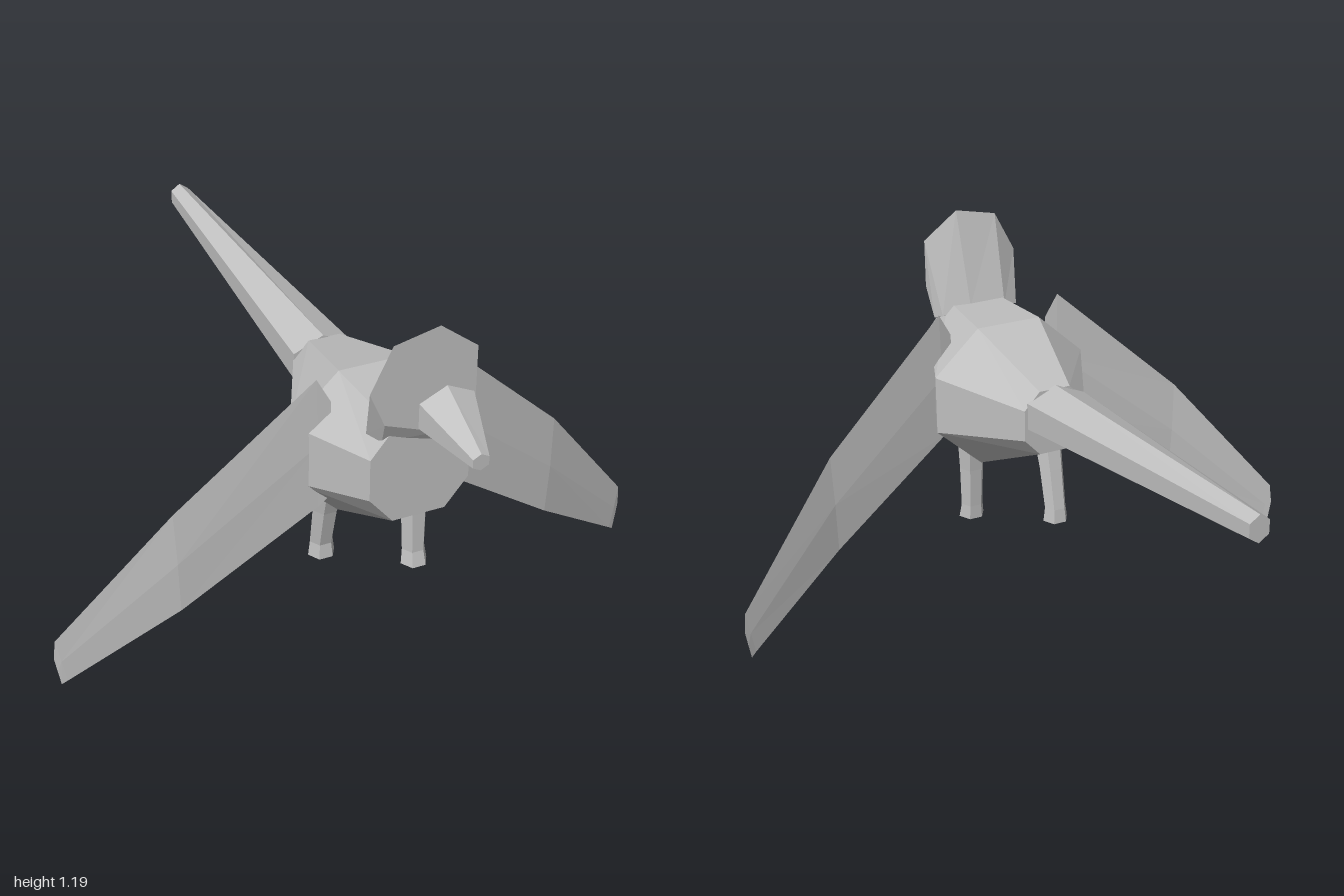
import * as THREE from 'three';

const grey = new THREE.MeshStandardMaterial({ color: 0xc0c0c0, flatShading: true });
grey.name = 'plain grey';

// Closed, flat-faced skin through rings of [x, y, z] points, capped at both ends
function loft(name, rings) {
  const tris = [];
  const n = rings[0].length;
  for (let r = 0; r < rings.length - 1; r++) {
    for (let i = 0; i < n; i++) {
      const j = (i + 1) % n;
      const [a, b, c, d] = [rings[r][i], rings[r][j], rings[r + 1][j], rings[r + 1][i]];
      tris.push([a, b, c], [a, c, d]);
    }
  }
  const last = rings[rings.length - 1];
  for (let i = 1; i < n - 1; i++) {
    tris.push([rings[0][0], rings[0][i + 1], rings[0][i]]);
    tris.push([last[0], last[i], last[i + 1]]);
  }
  // Turn all faces outward by the sign of the enclosed volume
  let volume = 0;
  for (const [a, b, c] of tris) {
    const [u, v, w] = [a, b, c].map((p) => new THREE.Vector3(...p));
    volume += u.dot(v.cross(w));
  }
  if (volume < 0) tris.forEach((t) => t.reverse());
  const geometry = new THREE.BufferGeometry();
  geometry.setAttribute('position', new THREE.Float32BufferAttribute(tris.flat(2), 3));
  geometry.computeVertexNormals();
  const mesh = new THREE.Mesh(geometry, grey);
  mesh.name = name;
  return mesh;
}

// Upright octagon: half width w, half height h, corner offsets cx and cy
const octagon = (y, z, w, h, cx, cy) =>
  [[cx, h], [w, cy], [w, -cy], [cx, -h], [-cx, -h], [-w, -cy], [-w, cy], [-cx, h]]
    .map(([px, py]) => [px, y + py, z]);

// Upright hexagon with a corner at the top
const hexagon = (x, y, z, w, h) =>
  [[0, 1], [1, 0.5], [1, -0.5], [0, -1], [-1, -0.5], [-1, 0.5]]
    .map(([px, py]) => [x + px * w, y + py * h, z]);

// Level hexagon for the legs
const legRing = (x, y, z, r) =>
  Array.from({ length: 6 }, (_, i) => {
    const a = (i * Math.PI) / 3;
    return [x + r * Math.cos(a), y, z + r * Math.sin(a)];
  });

// Thin lens section of a wing: top edge, front, bottom edge, back
const wingRing = (side, top, bottom, t) => {
  const mid = top.map((v, i) => (v + bottom[i]) / 2);
  return [top, [mid[0], mid[1], mid[2] + t], bottom, [mid[0], mid[1], mid[2] - t]]
    .map(([x, y, z]) => [side * x, y, z]);
};

export function createModel() {
  const model = new THREE.Group();
  model.name = 'bird';

  model.add(loft('body', [
    octagon(0.75, 0.67, 0.15, 0.15, 0.08, 0.065),
    octagon(0.685, 0.37, 0.253, 0.235, 0.105, 0.095),
    octagon(0.725, 0.04, 0.1, 0.105, 0.05, 0.05),
  ]));

  // Neck flares from the shoulders up to a flat upright face
  model.add(loft('neck', [
    [[-0.1, 1.165, 0.69], [0.035, 1.195, 0.69], [0.148, 1.11, 0.69], [0.148, 0.955, 0.69],
      [0.04, 0.87, 0.69], [-0.12, 0.93, 0.69], [-0.165, 1.035, 0.69]],
    [[-0.09, 0.885, 0.6], [0.03, 0.895, 0.6], [0.125, 0.875, 0.61], [0.14, 0.86, 0.645],
      [0.04, 0.835, 0.67], [-0.11, 0.855, 0.655], [-0.14, 0.87, 0.62]],
  ]));

  model.add(loft('beak', [
    hexagon(0, 1.012, 0.8, 0.079, 0.074),
    hexagon(-0.007, 0.975, 1, 0.023, 0.024),
  ]));

  model.add(loft('tail', [
    hexagon(-0.005, 0.755, 0.045, 0.095, 0.085),
    hexagon(-0.07, 0.862, -1, 0.03, 0.042),
  ]));

  for (const side of [1, -1]) {
    model.add(loft(side > 0 ? 'leftWing' : 'rightWing', [
      wingRing(side, [0.165, 0.88, 0.45], [0.165, 0.57, 0.45], 0.004),
      wingRing(side, [0.205, 0.955, 0.443], [0.2, 0.535, 0.443], 0.005),
      wingRing(side, [0.61, 0.58, 0.375], [0.6, 0.245, 0.378], 0.006),
      wingRing(side, [0.95, 0.165, 0.268], [0.925, 0.015, 0.275], 0.002),
      wingRing(side, [0.957, 0.1, 0.264], [0.942, 0.002, 0.268], 0.001),
    ]));
  }

  // Legs in mid-stride: the left one steps forward
  for (const [name, x, foot, ankle, hip] of [
    ['leftLeg', 0.12, 0.427, 0.42, 0.41],
    ['rightLeg', -0.115, 0.275, 0.275, 0.335],
  ]) {
    model.add(loft(name, [
      legRing(x, 0.237, foot, 0.043),
      legRing(x, 0.285, ankle, 0.037),
      legRing(x, 0.42, (ankle + hip) / 2, 0.041),
      legRing(x, 0.53, hip, 0.048),
    ]));
  }

  return model;
}
